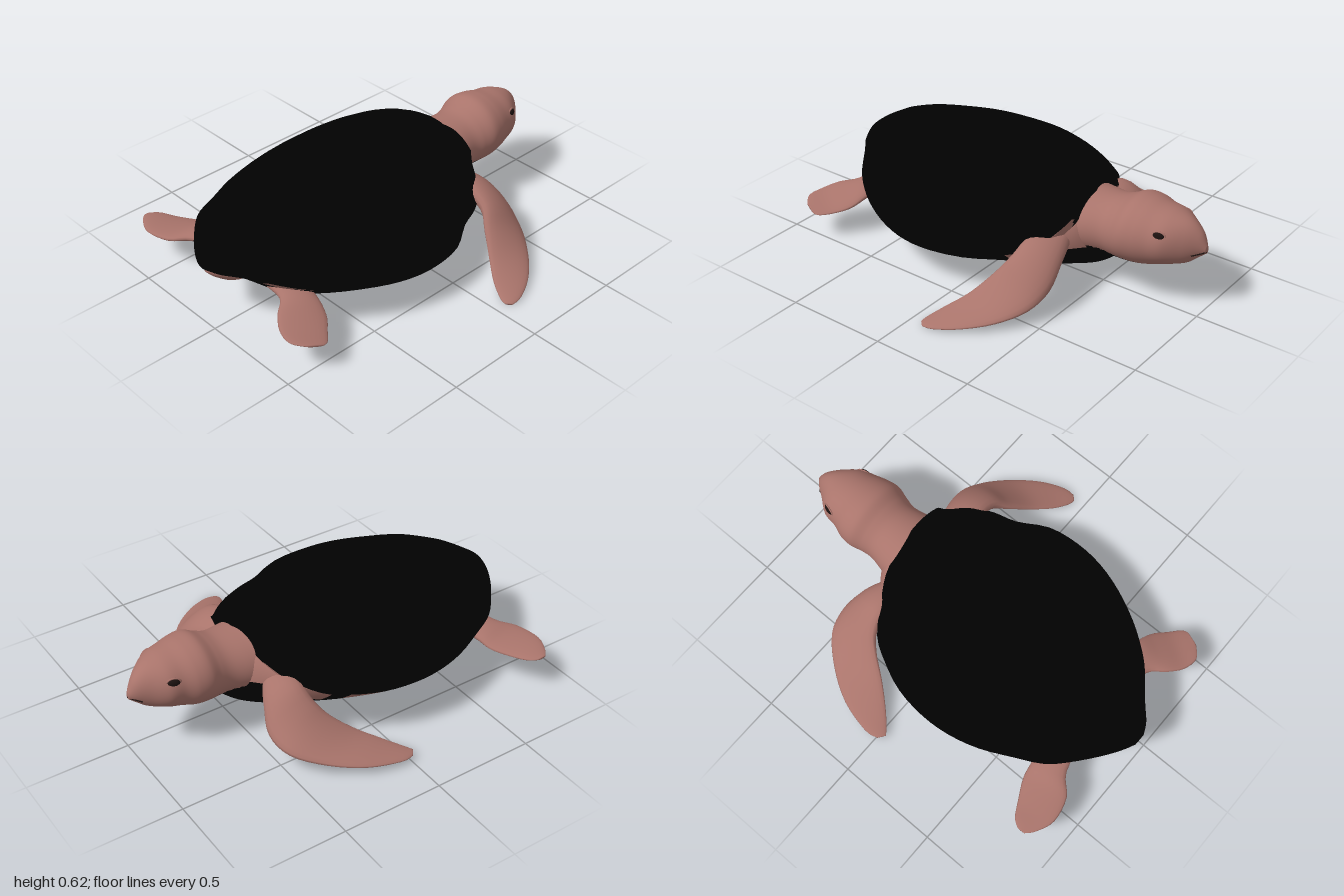
import * as THREE from 'three';
import { toCreasedNormals } from 'three/addons/utils/BufferGeometryUtils.js';

const material = (name, color) => new THREE.MeshStandardMaterial({ name, color });

// Catmull-Rom interpolation through rows of numbers
function smoothRows(rows, steps) {
  const out = [];
  const last = rows.length - 1;
  for (let k = 0; k <= last * steps; k++) {
    const i = Math.min(Math.floor(k / steps), last - 1);
    const t = k / steps - i;
    const p = [-1, 0, 1, 2].map((o) => rows[Math.min(Math.max(i + o, 0), last)]);
    out.push(p[0].map((_, c) => {
      const [a, b, d, e] = p.map((r) => r[c]);
      return b + 0.5 * t * (d - a + t * (2 * a - 5 * b + 4 * d - e + t * (3 * (b - d) + e - a)));
    }));
  }
  return out;
}

// Closed skin over rings; rule(centre, normal, t) gives the material index of a face
function loft(rings, rule = () => 0) {
  const n = rings[0].length;
  const middle = (r) => r.reduce((s, p) => s.add(p), new THREE.Vector3()).divideScalar(r.length);
  const points = [...rings.flat(), middle(rings[0]), middle(rings[rings.length - 1])];
  const first = rings.length * n;
  const faces = [[], []];
  const normal = new THREE.Vector3();
  // Corners counterclockwise; a face of four becomes two triangles of one colour
  const add = (t, ...ids) => {
    const p = ids.map((i) => points[i]);
    const end = p[p.length - 1];
    normal.subVectors(p[1], p[0]).cross(end.clone().sub(p[0]));
    const list = faces[rule(middle(p), normal.normalize(), t)];
    list.push(ids[0], ids[1], ids[ids.length - 1]);
    if (ids.length === 4) list.push(ids[1], ids[2], ids[3]);
  };
  for (let j = 0; j < n; j++) {
    const k = (j + 1) % n;
    add(0, first, k, j);
    for (let i = 0; i < rings.length - 1; i++) {
      const a = i * n, b = a + n;
      add(i / (rings.length - 1), a + j, a + k, b + k, b + j);
    }
    add(1, first + 1, first - n + j, first - n + k);
  }
  const geometry = new THREE.BufferGeometry().setFromPoints(points);
  geometry.setIndex(faces.flat());
  geometry.addGroup(0, faces[0].length, 0);
  geometry.addGroup(faces[0].length, faces[1].length, 1);
  geometry.computeVertexNormals();
  return geometry;
}

// Elliptical rings from rows of [z, centre x, half width, top, bottom]
function ovalRings(rows, steps = 4, sides = 32) {
  return smoothRows(rows, steps).map(([z, cx, w, top, bottom]) =>
    Array.from({ length: sides }, (_, j) => {
      const a = (j / sides) * Math.PI * 2;
      return new THREE.Vector3(cx + w * Math.cos(a), (top + bottom) / 2 + ((top - bottom) / 2) * Math.sin(a), z);
    }));
}

// Blade rings from rows of [leading xyz, trailing xyz, half thickness]
function bladeRings(rows, sides = 20) {
  const stations = smoothRows(rows, 4).map((r) => {
    const lead = new THREE.Vector3(r[0], r[1], r[2]);
    const trail = new THREE.Vector3(r[3], r[4], r[5]);
    return { mid: lead.clone().add(trail).multiplyScalar(0.5), chord: lead.sub(trail).multiplyScalar(0.5), thick: r[6] };
  });
  return stations.map(({ mid, chord, thick }, i) => {
    const next = stations[Math.min(i + 1, stations.length - 1)].mid;
    const dir = next.clone().sub(stations[Math.max(i - 1, 0)].mid);
    const up = dir.cross(chord).setLength(thick);
    return Array.from({ length: sides }, (_, j) => {
      const a = (j / sides) * Math.PI * 2;
      return mid.clone().addScaledVector(chord, Math.cos(a)).addScaledVector(up, Math.sin(a));
    });
  });
}

export function createModel() {
  const group = new THREE.Group();
  const skin = material('skin', 0xa9746b);
  const black = material('black shell', 0x010101);
  const dark = material('dark eye', 0x1c1210);
  const add = (name, geometry, mat) => {
    const mesh = new THREE.Mesh(geometry, mat);
    mesh.name = name;
    group.add(mesh);
    return mesh;
  };

  // Domed shell and belly: [z, right edge, left edge, top, rim, bottom]
  const shellRows = [
    [-0.44, -0.11, 0.18, 0.46, 0.40, 0.36], [-0.41, -0.23, 0.22, 0.48, 0.36, 0.24],
    [-0.35, -0.34, 0.32, 0.54, 0.30, 0.10], [-0.26, -0.47, 0.385, 0.583, 0.265, 0.06],
    [-0.15, -0.54, 0.425, 0.608, 0.25, 0.05], [-0.01, -0.598, 0.51, 0.625, 0.24, 0.05],
    [0.15, -0.62, 0.535, 0.62, 0.235, 0.052], [0.3, -0.61, 0.52, 0.607, 0.235, 0.055],
    [0.45, -0.57, 0.47, 0.583, 0.24, 0.065], [0.6, -0.50, 0.39, 0.552, 0.25, 0.08],
    [0.72, -0.44, 0.30, 0.51, 0.265, 0.115], [0.8, -0.37, 0.22, 0.472, 0.28, 0.18],
    [0.9, -0.25, 0.09, 0.41, 0.295, 0.265], [0.96, -0.16, 0.02, 0.36, 0.3, 0.29],
    [0.99, -0.10, -0.04, 0.315, 0.305, 0.297],
  ];
  const half = 24;
  const shellRings = smoothRows(shellRows, 3).map(([z, l, r, top, rim, bottom]) =>
    Array.from({ length: half * 2 }, (_, j) => {
      const u = Math.cos((j / half) * Math.PI);
      const x = (u * (r - l)) / 2;
      const dome = (top - rim) * (1 - u * u) * (1 + 0.15 * u);
      const y = j <= half ? dome : (bottom - rim) * (1 - Math.abs(u) ** 2.35);
      return new THREE.Vector3((l + r) / 2 + x, rim - 0.055 * x + y, z);
    }));
  // Bare skin shows under the rim beside the limbs
  const rimSkin = (c, n) => {
    const x = Math.abs(c.x + 0.04);
    if (n.y > -0.05) return 0;
    if (c.z < -0.22) return x > 0.2 && c.y > 0.2 ? 1 : 0;
    const side = c.z > -0.15 && c.z < 0.29 && c.x < -0.44;
    const rear = c.z > 0.62 && c.z < 0.86 && x > 0.2 && c.y > 0.235;
    return side || rear ? 1 : 0;
  };
  add('shell', toCreasedNormals(loft(shellRings, rimSkin), 0.9), [black, skin]);

  // Chest between shell and neck, dark below and higher on the right
  add('chest', loft(ovalRings([
    [-0.52, -0.04, 0.07, 0.32, 0.12], [-0.48, -0.04, 0.15, 0.40, 0.095],
    [-0.42, -0.04, 0.23, 0.43, 0.08], [-0.3, -0.04, 0.34, 0.42, 0.07], [-0.15, -0.05, 0.36, 0.40, 0.075],
  ], 6, 48), (c) => (c.y < (c.x < -0.12 ? 0.28 : 0.23) ? 1 : 0)), [skin, black]);

  // Neck and head, with a dark throat
  add('head', loft(ovalRings([
    [-1.0, -0.05, 0.012, 0.345, 0.31], [-0.97, -0.05, 0.042, 0.405, 0.285],
    [-0.92, -0.043, 0.085, 0.45, 0.245], [-0.85, -0.04, 0.14, 0.477, 0.222],
    [-0.78, -0.035, 0.158, 0.49, 0.2], [-0.72, -0.037, 0.178, 0.502, 0.185],
    [-0.66, -0.035, 0.184, 0.503, 0.18], [-0.6, -0.033, 0.168, 0.475, 0.175],
    [-0.54, -0.035, 0.16, 0.457, 0.17], [-0.45, -0.035, 0.178, 0.455, 0.155],
    [-0.35, -0.035, 0.19, 0.46, 0.15],
  ], 10, 96), (c) => (c.z > -0.74 && c.y < 0.217 + (c.z + 0.73) * 0.11 ? 1 : 0)), [skin, black]);

  // Eyes with lids
  for (const side of [-1, 1]) {
    const eye = add('eye', new THREE.SphereGeometry(1, 20, 14), dark);
    eye.scale.set(0.014, 0.021, 0.03);
    eye.position.set(-0.04 + side * 0.126, 0.4, -0.83);
    eye.rotation.y = side * 0.3;
    const lid = add('eyelid', new THREE.TorusGeometry(1, 0.2, 8, 24), skin);
    lid.scale.set(0.031, 0.022, 0.02);
    lid.position.copy(eye.position);
    lid.rotation.y = Math.PI / 2 + side * 0.3;
  }

  // Short mouth line around the beak
  const lip = [[-0.058, 0.309, -0.955], [-0.04, 0.313, -0.973]];
  const path = [...lip, [0, 0.318, -0.998], ...lip.map(([x, y, z]) => [-x, y, z]).reverse()]
    .map(([x, y, z]) => new THREE.Vector3(x - 0.047, y, z));
  add('mouth', new THREE.TubeGeometry(new THREE.CatmullRomCurve3(path), 32, 0.003, 6), dark);

  // Front flippers, the right one dark beneath the root
  add('leftFrontFlipper', loft(bladeRings([
    [0.15, 0.27, -0.42, 0.15, 0.27, -0.25, 0.06], [0.28, 0.22, -0.46, 0.30, 0.30, -0.28, 0.054],
    [0.40, 0.14, -0.48, 0.41, 0.26, -0.28, 0.048], [0.52, 0.085, -0.45, 0.48, 0.18, -0.23, 0.035],
    [0.64, 0.05, -0.365, 0.57, 0.10, -0.165, 0.022], [0.74, 0.03, -0.25, 0.66, 0.05, -0.10, 0.015],
    [0.795, 0.016, -0.14, 0.74, 0.02, -0.06, 0.01], [0.80, 0.01, -0.08, 0.775, 0.012, -0.055, 0.005],
  ])), [skin, black]);
  add('rightFrontFlipper', loft(bladeRings([
    [-0.2, 0.27, -0.40, -0.2, 0.27, -0.25, 0.06], [-0.32, 0.22, -0.47, -0.36, 0.31, -0.30, 0.055],
    [-0.43, 0.14, -0.515, -0.45, 0.25, -0.29, 0.048], [-0.56, 0.10, -0.49, -0.51, 0.18, -0.24, 0.035],
    [-0.68, 0.07, -0.37, -0.58, 0.11, -0.15, 0.022], [-0.77, 0.05, -0.22, -0.65, 0.07, -0.07, 0.015],
    [-0.81, 0.035, -0.06, -0.72, 0.04, 0, 0.01], [-0.80, 0.03, 0.01, -0.765, 0.03, 0.035, 0.005],
  ]), (c, n, t) => (n.y < -0.2 && t < 0.5 ? 1 : 0)), [skin, black]);

  // Hind flippers
  add('leftHindFlipper', loft(bladeRings([
    [0.1, 0.2, 0.65, 0.1, 0.22, 0.8, 0.036], [0.3, 0.198, 0.67, 0.23, 0.21, 0.81, 0.03],
    [0.41, 0.162, 0.70, 0.3, 0.2, 0.88, 0.021], [0.48, 0.143, 0.755, 0.37, 0.18, 0.93, 0.015],
    [0.53, 0.14, 0.80, 0.45, 0.17, 0.945, 0.01], [0.54, 0.145, 0.83, 0.51, 0.16, 0.9, 0.005],
  ])), [skin, black]);
  add('rightHindFlipper', loft(bladeRings([
    [-0.2, 0.2, 0.6, -0.2, 0.21, 0.78, 0.036], [-0.42, 0.188, 0.66, -0.38, 0.2, 0.82, 0.03],
    [-0.52, 0.168, 0.68, -0.47, 0.188, 0.895, 0.021], [-0.62, 0.163, 0.73, -0.59, 0.183, 0.92, 0.015],
    [-0.69, 0.169, 0.77, -0.68, 0.179, 0.885, 0.01], [-0.72, 0.174, 0.81, -0.72, 0.179, 0.85, 0.005],
  ])), [skin, black]);

  // Short tail
  add('tail', loft(ovalRings([
    [0.68, -0.07, 0.11, 0.29, 0.15], [0.84, -0.08, 0.085, 0.29, 0.165],
    [0.92, -0.085, 0.05, 0.28, 0.21], [0.96, -0.09, 0.01, 0.265, 0.25],
  ])), [skin, black]);

  return group;
}
